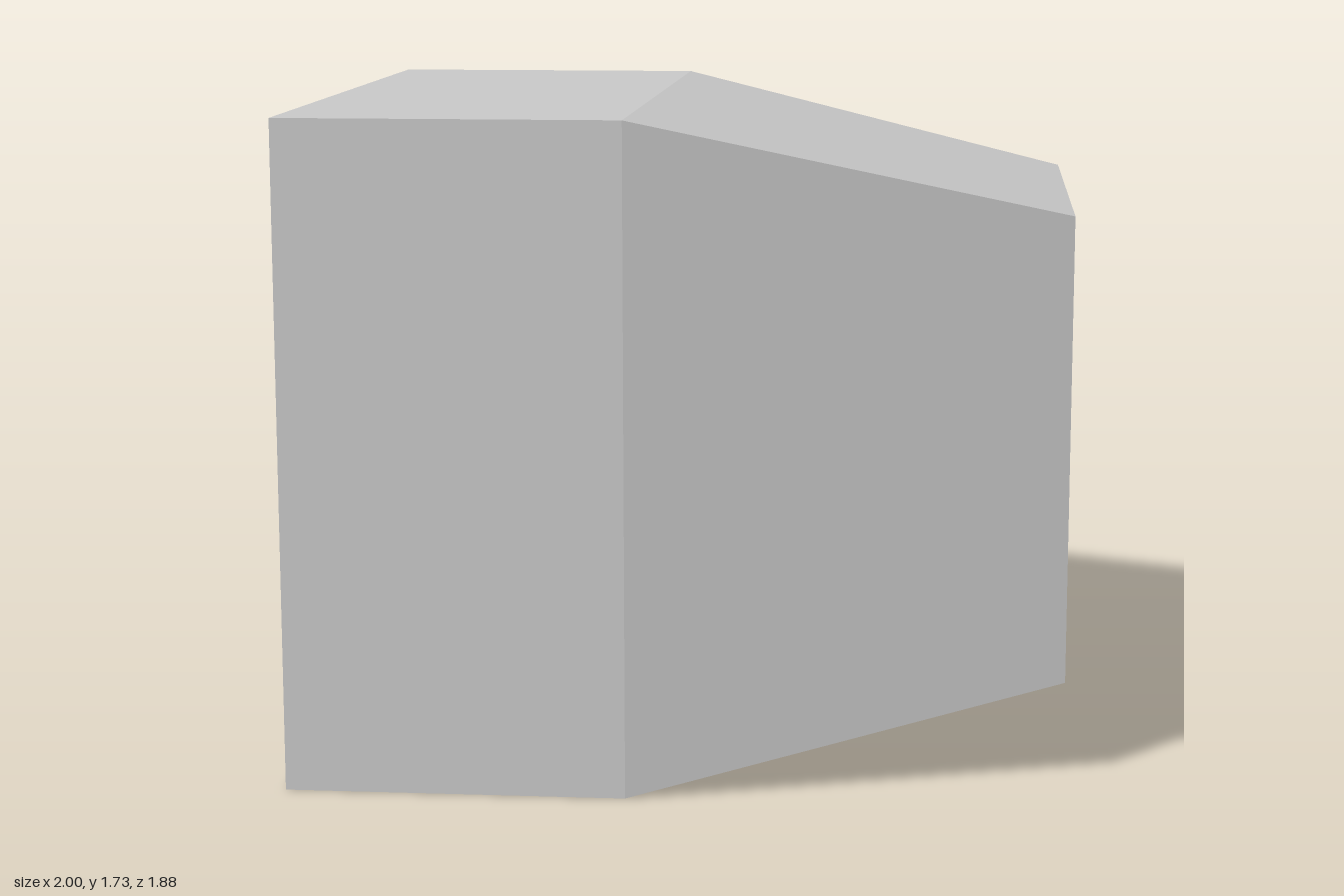
import * as THREE from 'three';

const bodyGrey = new THREE.MeshStandardMaterial({ color: 0xc8c8c8 });
bodyGrey.name = 'bodyGrey';
const screenTeal = new THREE.MeshStandardMaterial({ color: 0x2a4242 });
screenTeal.name = 'screenTeal';

// Rectangular sections [x, bottom, top, halfDepth]
const innerRim = [-0.88, 0.25, 1.55, 0.71];
const rim = [-1, 0.25, 1.55, 0.71];
const caseFront = [-1, 0, 1.73, 0.94];
const caseMiddle = [-0.12, 0, 1.73, 0.94];
const caseEnd = [1, 0.26, 1.475, 0.68];

const corners = ([x, y0, y1, z]) => [[x, y0, -z], [x, y0, z], [x, y1, z], [x, y1, -z]];

// Flat-shaded geometry from four-cornered faces
function faces(quads) {
  const positions = quads.flatMap(([a, b, c, d]) => [a, b, c, a, c, d].flat());
  const geometry = new THREE.BufferGeometry();
  geometry.setAttribute('position', new THREE.Float32BufferAttribute(positions, 3));
  geometry.computeVertexNormals();
  return geometry;
}

// Side walls joining consecutive sections
function loft(sections) {
  const rings = sections.map(corners);
  const quads = [];
  for (let i = 0; i < rings.length - 1; i++) {
    for (let j = 0; j < 4; j++) {
      const k = (j + 1) % 4;
      quads.push([rings[i][j], rings[i + 1][j], rings[i + 1][k], rings[i][k]]);
    }
  }
  return quads;
}

export function createModel() {
  const group = new THREE.Group();
  group.name = 'monitor';
  const add = (name, quads, material) => {
    const mesh = new THREE.Mesh(faces(quads), material);
    mesh.name = name;
    group.add(mesh);
  };

  // Bezel, straight housing and tapered end with its cap
  add('housing', [...loft([rim, caseFront, caseMiddle, caseEnd]), corners(caseEnd).reverse()], bodyGrey);

  // Recessed screen and the dark walls around it
  add('screenRecess', loft([innerRim, rim]), screenTeal);
  add('screen', [corners(innerRim)], screenTeal);

  // Slanted pale marks on the recess floor: outer z range, inner z range
  const floorY = 0.253;
  const floorMarks = [[-0.71, -0.56, -0.545, -0.445], [-0.406, -0.318, -0.318, -0.216]];
  add('floorMarks', floorMarks.map(([o0, o1, i0, i1]) => [
    [-1, floorY, o0], [-1, floorY, o1], [-0.88, floorY, i1], [-0.88, floorY, i0],
  ]), bodyGrey);

  // Thin pale marks across the side wall of the recess
  add('wallMarks', [0.35, 0.88].map((y) => [
    [-1, y, 0.707], [-1, y + 0.025, 0.707], [-0.88, y + 0.025, 0.707], [-0.88, y, 0.707],
  ]), bodyGrey);

  return group;
}
